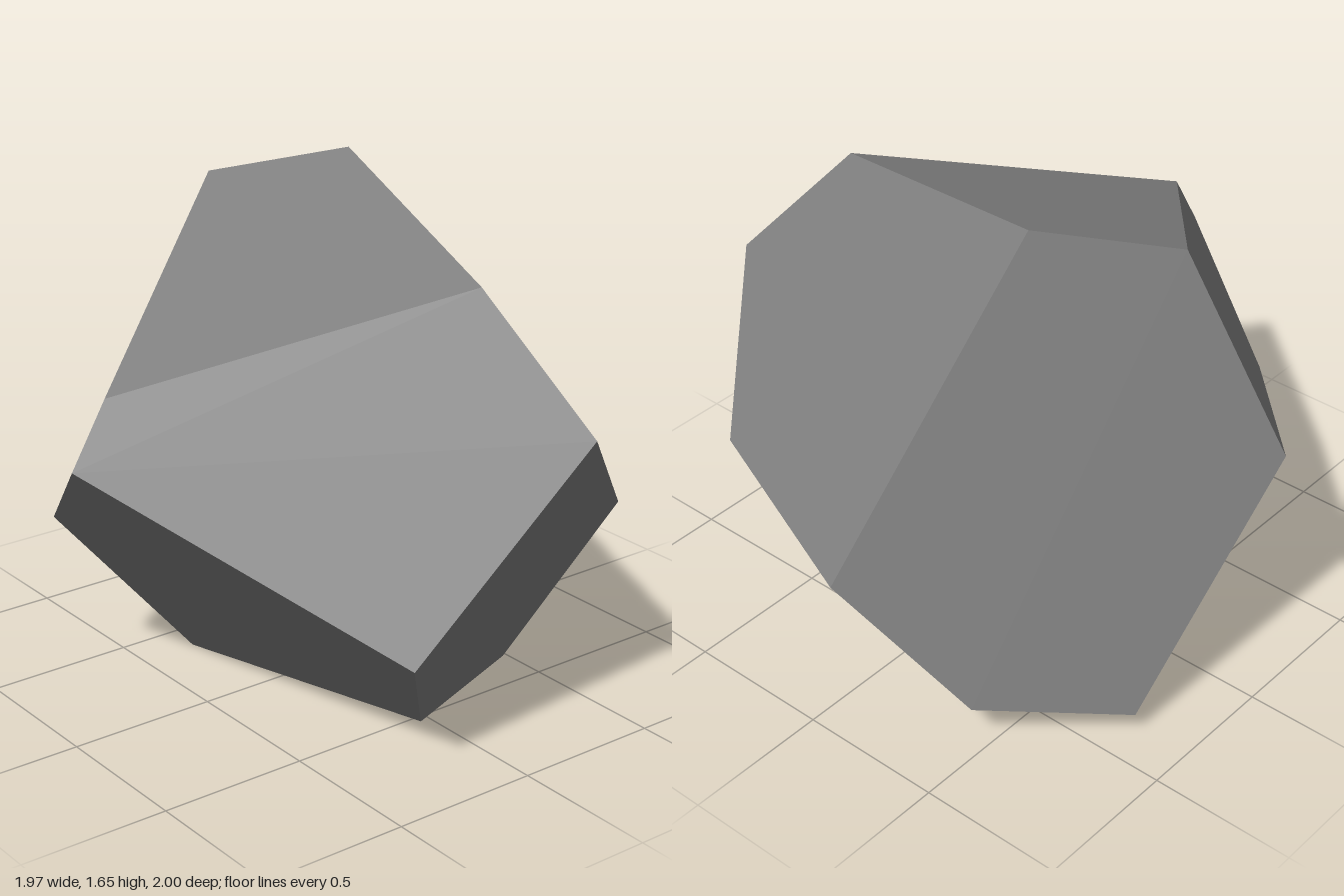
import * as THREE from 'three';

// Corners of the faceted boulder
const P = {
  A: [-0.66, 1.56, 0.0], B: [-0.335, 1.655, -0.34], C: [0.62, 1.455, -0.1], D: [0.03, 1.145, 0.87],
  E: [0.04, 0.94, 1.0], F: [-0.985, 0.9, 0.11], G: [-0.4, 0.6, 0.81], H: [0.98, 1.035, -0.255],
  I: [0.86, 0.4, 0.34], J: [-0.375, 0, 0.3], K: [-0.825, 0.09, -0.39], L: [0.63, 0.07, 0.12],
  M: [-0.115, 0.61, -1.0], N: [0.65, 0.62, -0.685], O: [-0.47, 0.16, -0.765], P: [0.53, 0.13, -0.31],
};

// Each facet as a loop of corners: top, front left, front right, front base,
// left base, right, underside, back, back base, left
const FACETS = ['ABCD', 'ADEGF', 'DCHIE', 'EILJG', 'GJKF', 'ILPNH', 'JKOPL', 'BCHNM', 'NMOP', 'ABMOKF'];

// Flat polygons, wound outward from the middle of the rock, one normal per facet
function facetedSolid(corners, facets) {
  const middle = new THREE.Vector3(0, 0.8, 0);
  const positions = [], normals = [];
  for (const facet of facets) {
    const loop = [...facet].map((k) => new THREE.Vector3(...corners[k]));
    const normal = new THREE.Vector3();
    loop.forEach((p, i) => normal.add(p.clone().cross(loop[(i + 1) % loop.length])));
    if (normal.dot(loop[0].clone().sub(middle)) < 0) {
      loop.reverse();
      normal.negate();
    }
    normal.normalize();
    for (let i = 1; i < loop.length - 1; i++) {
      for (const p of [loop[0], loop[i], loop[i + 1]]) {
        positions.push(p.x, p.y, p.z);
        normals.push(normal.x, normal.y, normal.z);
      }
    }
  }
  const geometry = new THREE.BufferGeometry();
  geometry.setAttribute('position', new THREE.Float32BufferAttribute(positions, 3));
  geometry.setAttribute('normal', new THREE.Float32BufferAttribute(normals, 3));
  return geometry;
}

export function createModel() {
  const group = new THREE.Group();
  group.name = 'boulder';
  const stone = new THREE.MeshStandardMaterial({ color: 0x808080 });
  stone.name = 'stone grey';
  const rock = new THREE.Mesh(facetedSolid(P, FACETS), stone);
  rock.name = 'rock';
  group.add(rock);
  return group;
}
